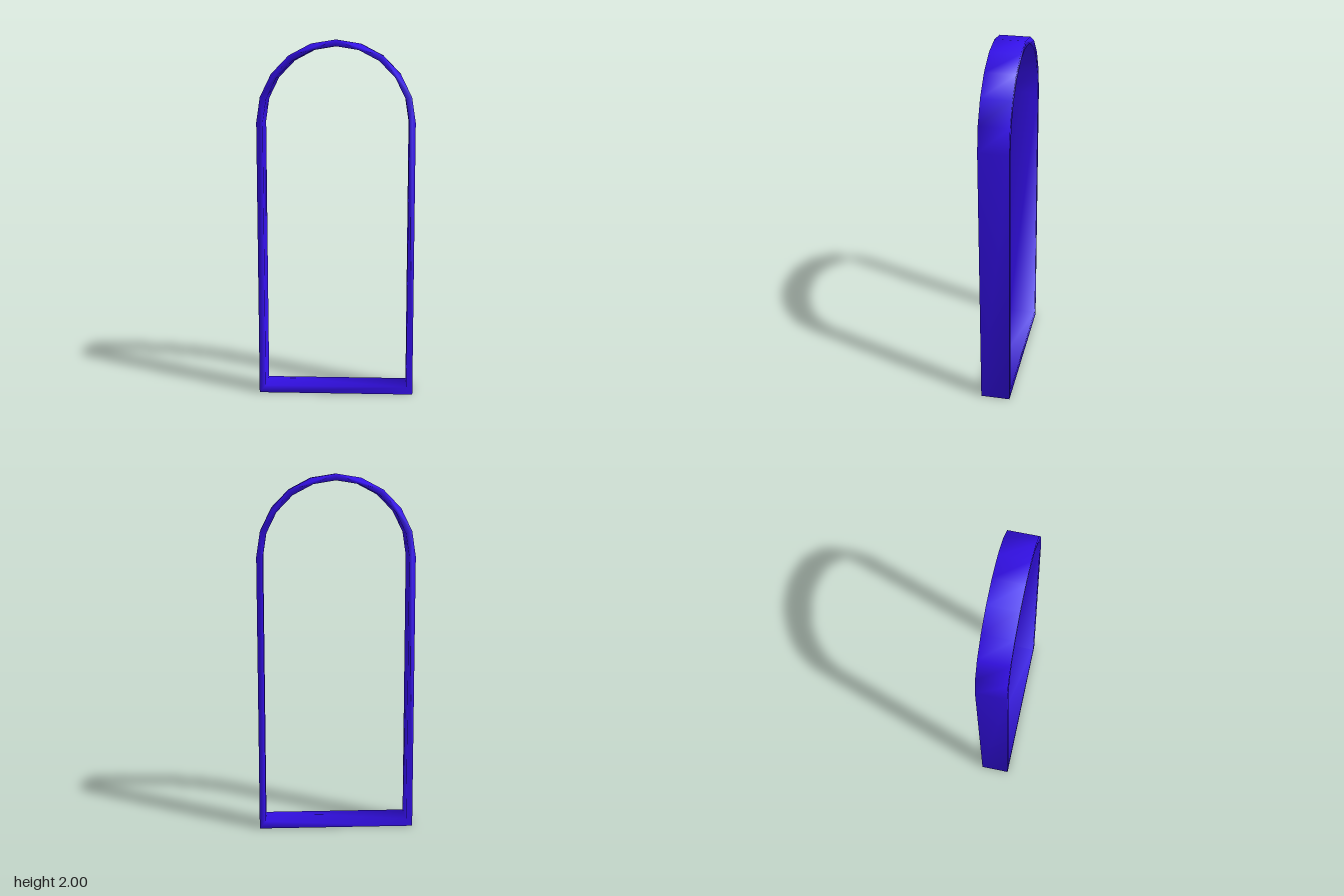
import * as THREE from 'three';
import { mergeVertices } from 'three/addons/utils/BufferGeometryUtils.js';

const DEPTH = 0.165;
const SPRING = 1.55; // height where the arch begins
const ARCH_STEPS = 10;

// Arched outline: two bottom corners and a faceted half ellipse
function archPoints(halfWidth, rise, bottom) {
  const points = [new THREE.Vector2(-halfWidth, bottom), new THREE.Vector2(halfWidth, bottom)];
  for (let i = 0; i <= ARCH_STEPS; i++) {
    const a = (Math.PI * i) / ARCH_STEPS;
    points.push(new THREE.Vector2(halfWidth * Math.cos(a), SPRING + rise * Math.sin(a)));
  }
  return points;
}

export function createModel() {
  const model = new THREE.Group();
  model.name = 'archedFrame';

  const blue = new THREE.MeshStandardMaterial({ color: 0x3410ea });
  blue.name = 'deep blue';

  // Thin frame with an arched opening
  const shape = new THREE.Shape(archPoints(0.438, 0.45, 0));
  shape.holes.push(new THREE.Path(archPoints(0.402, 0.414, 0.042)));
  let geometry = new THREE.ExtrudeGeometry(shape, { depth: DEPTH, bevelEnabled: false });
  geometry.translate(0, 0, -DEPTH / 2);

  // Weld the corners so shading runs smoothly around the edges
  geometry.deleteAttribute('normal');
  geometry.deleteAttribute('uv');
  geometry.clearGroups();
  geometry = mergeVertices(geometry, 1e-4);
  geometry.computeVertexNormals();

  const frame = new THREE.Mesh(geometry, blue);
  frame.name = 'frame';
  model.add(frame);
  return model;
}
